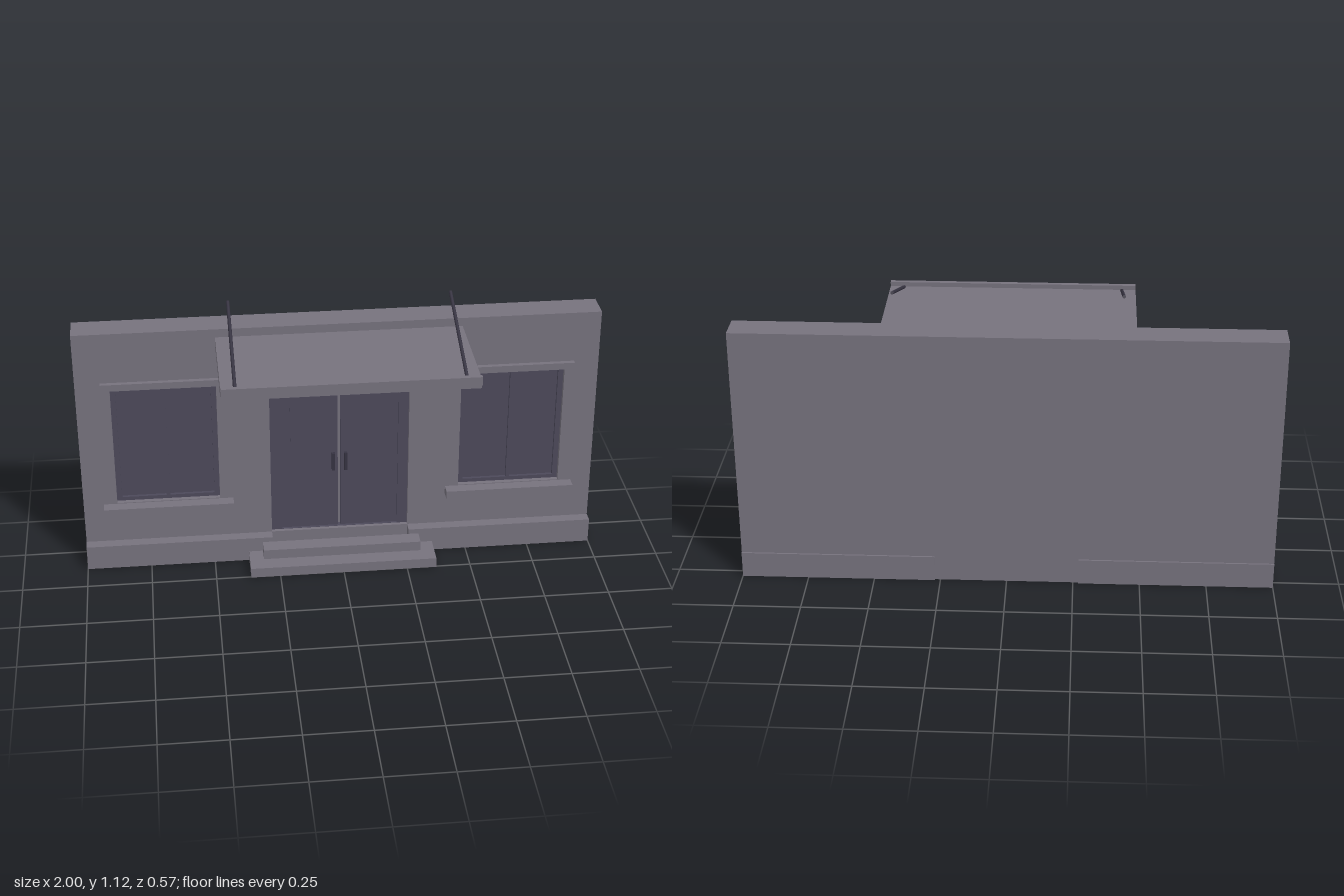
import * as THREE from 'three';

export function createModel() {
  const model = new THREE.Group();
  model.name = 'entranceFacade';

  const mat = (name, color) => {
    const m = new THREE.MeshStandardMaterial({ color });
    m.name = name;
    return m;
  };
  const stone = mat('grey stone', 0x76727d);
  const dark = mat('dark joinery', 0x4c495a);
  const metal = mat('dark metal', 0x363341);

  // Box given by its limits on each axis
  const box = (name, material, x0, x1, y0, y1, z0, z1, parent = model) => {
    const mesh = new THREE.Mesh(new THREE.BoxGeometry(x1 - x0, y1 - y0, z1 - z0), material);
    mesh.position.set((x0 + x1) / 2, (y0 + y1) / 2, (z0 + z1) / 2);
    mesh.name = name;
    parent.add(mesh);
    return mesh;
  };

  const FRONT = -0.165, BACK = -0.28, RECESS = -0.205;
  const rect = (P, x0, x1, y0, y1) => {
    const p = new P();
    p.moveTo(x0, y0);
    p.lineTo(x1, y0);
    p.lineTo(x1, y1);
    p.lineTo(x0, y1);
    p.closePath();
    return p;
  };
  // Plate with rectangular openings between two z limits
  const plate = (name, material, outer, holes, z0, z1, parent = model) => {
    const shape = rect(THREE.Shape, ...outer);
    shape.holes = holes.map((h) => rect(THREE.Path, ...h));
    const geo = new THREE.ExtrudeGeometry(shape, { depth: z1 - z0, bevelEnabled: false });
    const mesh = new THREE.Mesh(geo, material);
    mesh.position.z = z0;
    mesh.name = name;
    parent.add(mesh);
  };

  // Wall with door and window recesses
  const door = [-0.27, 0.27, 0.1, 0.9];
  const windows = [[-0.87, -0.47, 0.27, 0.77], [0.47, 0.87, 0.27, 0.77]];
  plate('wallFront', stone, [-1, 1, 0, 1], [door, ...windows], RECESS, FRONT);
  box('wallBack', stone, -1, 1, 0, 1, BACK, RECESS);

  // Plinth on both sides of the entrance
  box('plinthRight', stone, -1, -0.27, 0, 0.1, -0.287, -0.122);
  box('plinthLeft', stone, 0.27, 1, 0, 0.1, -0.287, -0.122);

  // Entrance steps
  box('lowerStep', stone, -0.365, 0.365, 0, 0.04, -0.122, 0.005);
  box('upperStep', stone, -0.31, 0.31, 0.04, 0.08, -0.122, -0.06);

  // Windows: frame, two panes, sill and lintel
  for (const w of windows) {
    const g = new THREE.Group();
    g.name = w[0] < 0 ? 'windowRight' : 'windowLeft';
    model.add(g);
    const c = (w[0] + w[1]) / 2;
    const panes = [[c - 0.18, c - 0.007, 0.285, 0.75], [c + 0.007, c + 0.18, 0.285, 0.75]];
    plate('windowFrame', dark, w, panes, RECESS, -0.183, g);
    panes.forEach((p) => box('pane', dark, ...p, RECESS, -0.195, g));
    box('sill', stone, c - 0.252, c + 0.252, 0.235, 0.267, FRONT, -0.12, g);
    box('lintel', stone, c - 0.235, c + 0.235, 0.77, 0.797, FRONT, -0.147, g);
  }

  // Door: frame, transom light, two leaves with panels and handles
  const entrance = new THREE.Group();
  entrance.name = 'entranceDoor';
  model.add(entrance);
  const transom = [-0.23, 0.23, 0.77, 0.873];
  plate('doorFrame', dark, door, [transom, [-0.23, 0.23, 0.101, 0.755]], RECESS, -0.18, entrance);
  box('transomLight', dark, ...transom, RECESS, -0.195, entrance);
  for (const s of [-1, 1]) {
    const span = (a, b) => (s > 0 ? [a, b] : [-b, -a]);
    box('doorLeaf', dark, ...span(0.005, 0.23), 0.101, 0.755, RECESS, -0.19, entrance);
    box('doorPanel', dark, ...span(0.05, 0.19), 0.45, 0.71, -0.19, -0.187, entrance);
    box('handle', metal, ...span(0.018, 0.03), 0.365, 0.44, -0.178, -0.165, entrance);
    for (const y of [0.375, 0.42]) {
      box('handleMount', metal, ...span(0.02, 0.028), y, y + 0.01, -0.19, -0.178, entrance);
    }
  }

  // Canopy slab with raised front edge
  box('canopy', stone, -0.467, 0.467, 0.93, 0.967, FRONT, 0.27);
  box('canopyEdge', stone, -0.467, 0.467, 0.95, 0.984, 0.27, 0.288);

  // Slanted rods above the canopy
  for (const x of [-0.415, 0.415]) {
    const a = new THREE.Vector3(x, 0.968, 0.262), b = new THREE.Vector3(x, 1.115, -0.157);
    const dir = b.clone().sub(a);
    const rod = new THREE.Mesh(new THREE.CylinderGeometry(0.0065, 0.0065, dir.length(), 8), metal);
    rod.position.copy(a).lerp(b, 0.5);
    rod.quaternion.setFromUnitVectors(new THREE.Vector3(0, 1, 0), dir.normalize());
    rod.name = x < 0 ? 'canopyRodRight' : 'canopyRodLeft';
    model.add(rod);
  }

  return model;
}
